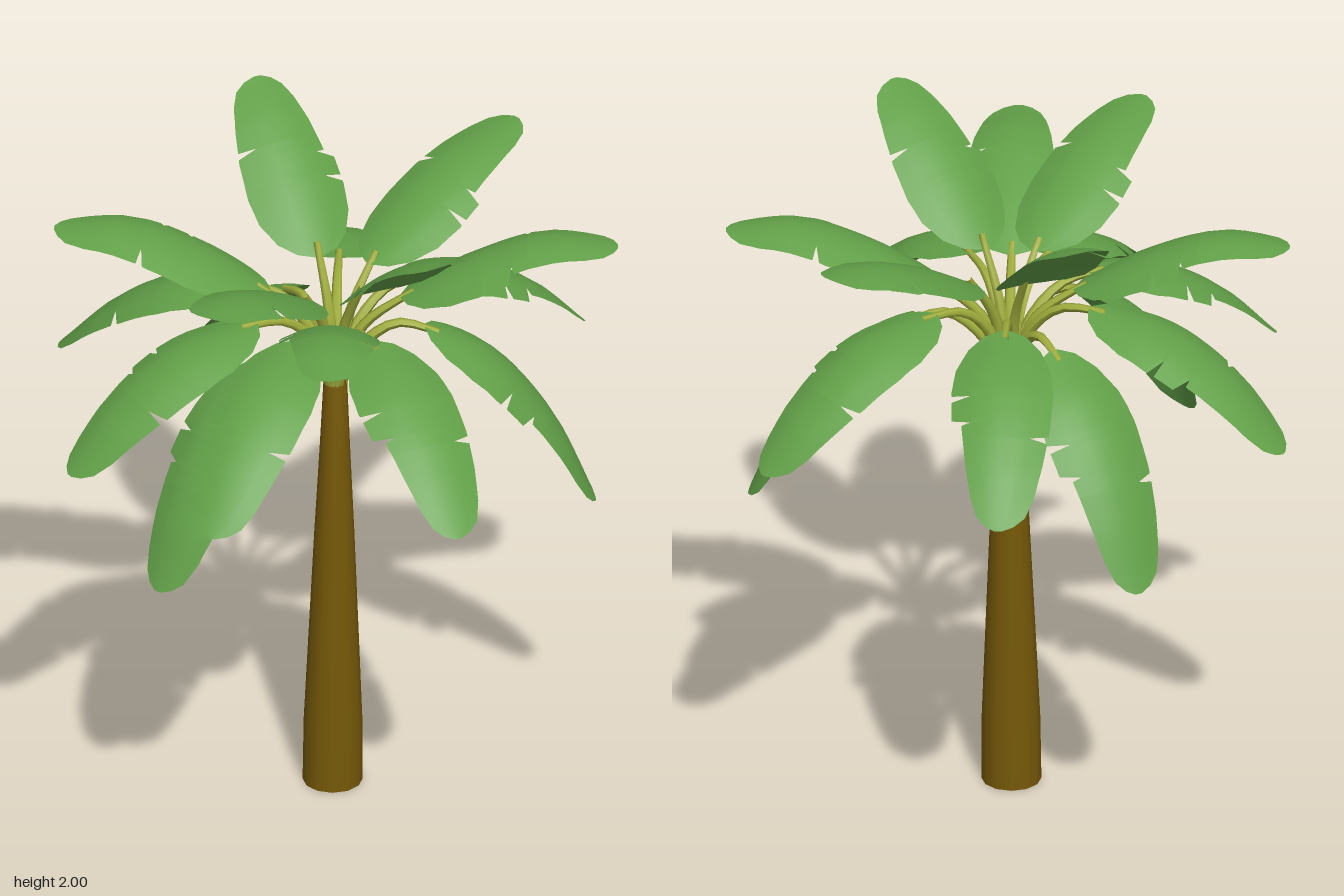
import * as THREE from 'three';

const material = (color, side = THREE.FrontSide) => new THREE.MeshStandardMaterial({ color, side });
const trunkMat = material(0x755808, THREE.DoubleSide);
const stemMat = material(0xa0ad3c);
const leafMat = material(0x62a048, THREE.DoubleSide);

// Smooth curve through [reach, height] points
const arc = (pts) => new THREE.CatmullRomCurve3(pts.map(([r, y]) => new THREE.Vector3(r, y, 0)));

// Half width of the blade along its length
const outline = [[0, 0.012], [0.03, 0.06], [0.1, 0.105], [0.22, 0.138], [0.36, 0.148], [0.55, 0.142],
  [0.72, 0.124], [0.86, 0.102], [0.94, 0.078], [0.98, 0.046], [1, 0.012]];
function halfWidth(t) {
  let i = 1;
  while (i < outline.length - 1 && outline[i][0] < t) i++;
  const [t0, w0] = outline[i - 1], [t1, w1] = outline[i];
  return THREE.MathUtils.lerp(w0, w1, (t - t0) / (t1 - t0));
}

// Torn notches in the blade edge: position along the leaf and side
const notches = [[0.4, 1], [0.53, 1], [0.6, -1]];

// Arched blade, lofted along a curve, with notched edges and one side slimmer past the tears
function bladeGeometry(curve) {
  const rows = outline.map(([t]) => t).concat([0.06, 0.16, 0.29, 0.47, 0.79, 0.9]);
  notches.forEach(([t]) => rows.push(t - 0.025, t, t + 0.008));
  rows.sort((a, b) => a - b);
  const cols = [-1, -0.6, -0.3, 0, 0.3, 0.6, 1];
  const pos = [], index = [];
  rows.forEach((t, i) => {
    const p = curve.getPointAt(t), d = curve.getTangentAt(t);
    const w = halfWidth(t);
    cols.forEach((u, j) => {
      const torn = notches.some(([nt, side]) => nt === t && side === u);
      const slim = u > 0 && t > 0.53 ? 0.8 : 1;
      const z = w * slim * (torn ? u * 0.62 : u);
      const droop = 0.045 * (z / 0.148) ** 2;
      pos.push(p.x + d.y * droop, p.y - d.x * droop, z);
      if (i && j) {
        const c = i * cols.length + j, b = c - cols.length;
        index.push(b - 1, c - 1, c, b - 1, c, b);
      }
    });
  });
  const geo = new THREE.BufferGeometry();
  geo.setAttribute('position', new THREE.Float32BufferAttribute(pos, 3));
  geo.setIndex(index);
  geo.computeVertexNormals();
  return geo;
}

// Stalk: a tube narrowing toward the blade
function stemGeometry(curve) {
  const segs = 10, sides = 6;
  const geo = new THREE.TubeGeometry(curve, segs, 0.022, sides);
  const p = geo.attributes.position, v = new THREE.Vector3();
  for (let k = 0; k < p.count; k++) {
    const t = Math.floor(k / (sides + 1)) / segs;
    v.fromBufferAttribute(p, k).lerp(curve.getPointAt(t), 0.55 * t);
    p.setXYZ(k, v.x, v.y, v.z);
  }
  geo.computeVertexNormals();
  return geo;
}

// Tiers of leaves: stalk and blade paths as [reach, height], and headings in degrees from +x toward +z
const tiers = [
  { name: 'topLeaf', stem: [[0.01, 1.32], [0.05, 1.52], [0.15, 1.7]],
    blade: [[0.13, 1.66], [0.29, 1.81], [0.46, 1.93], [0.63, 2]], headings: [28, 219] },
  { name: 'upperLeaf', stem: [[0.01, 1.32], [0.06, 1.52], [0.17, 1.68]],
    blade: [[0.14, 1.65], [0.32, 1.76], [0.53, 1.85], [0.755, 1.89]], headings: [91, 284] },
  { name: 'spreadingLeaf', stem: [[0.015, 1.32], [0.08, 1.5], [0.23, 1.62]],
    blade: [[0.19, 1.6], [0.38, 1.71], [0.6, 1.785], [0.82, 1.77]], headings: [62, 157, 331] },
  { name: 'archingLeaf', stem: [[0.015, 1.32], [0.07, 1.47], [0.17, 1.56], [0.31, 1.575]],
    blade: [[0.26, 1.58], [0.49, 1.545], [0.7, 1.425], [0.88, 1.24]], headings: [36, 84, 121, 175, 242, 294] },
  { name: 'droopingLeaf', stem: [[0.015, 1.32], [0.08, 1.44], [0.18, 1.51], [0.3, 1.48]],
    blade: [[0.26, 1.5], [0.46, 1.4], [0.635, 1.19], [0.755, 0.925]], headings: [103, 210, 330] },
];

export function createModel() {
  const tree = new THREE.Group();
  tree.name = 'palmTree';

  // Trunk, open at the bottom, leaning slightly toward the crown
  const profile = [[0.087, 0], [0.085, 0.2], [0.072, 0.5], [0.058, 0.82], [0.044, 1.1], [0.033, 1.35], [0, 1.37]];
  const trunkGeo = new THREE.LatheGeometry(profile.map(([r, y]) => new THREE.Vector2(r, y)), 12);
  trunkGeo.applyMatrix4(new THREE.Matrix4().makeShear(0, 0, 0.004, -0.005, 0, 0));
  const trunk = new THREE.Mesh(trunkGeo, trunkMat);
  trunk.name = 'trunk';
  trunk.position.set(0.078, 0, -0.028);
  tree.add(trunk);

  // Crown of leaves
  const crown = new THREE.Group();
  crown.name = 'crown';
  crown.position.set(0.083, 0, -0.034);
  tree.add(crown);
  for (const { name, stem, blade, headings } of tiers) {
    const stemGeo = stemGeometry(arc(stem)), bladeGeo = bladeGeometry(arc(blade));
    for (const heading of headings) {
      const leaf = new THREE.Group();
      leaf.name = name;
      const stalk = new THREE.Mesh(stemGeo, stemMat);
      stalk.name = 'stalk';
      const leafBlade = new THREE.Mesh(bladeGeo, leafMat);
      leafBlade.name = 'blade';
      leaf.add(stalk, leafBlade);
      leaf.rotation.y = -THREE.MathUtils.degToRad(heading);
      crown.add(leaf);
    }
  }
  return tree;
}
